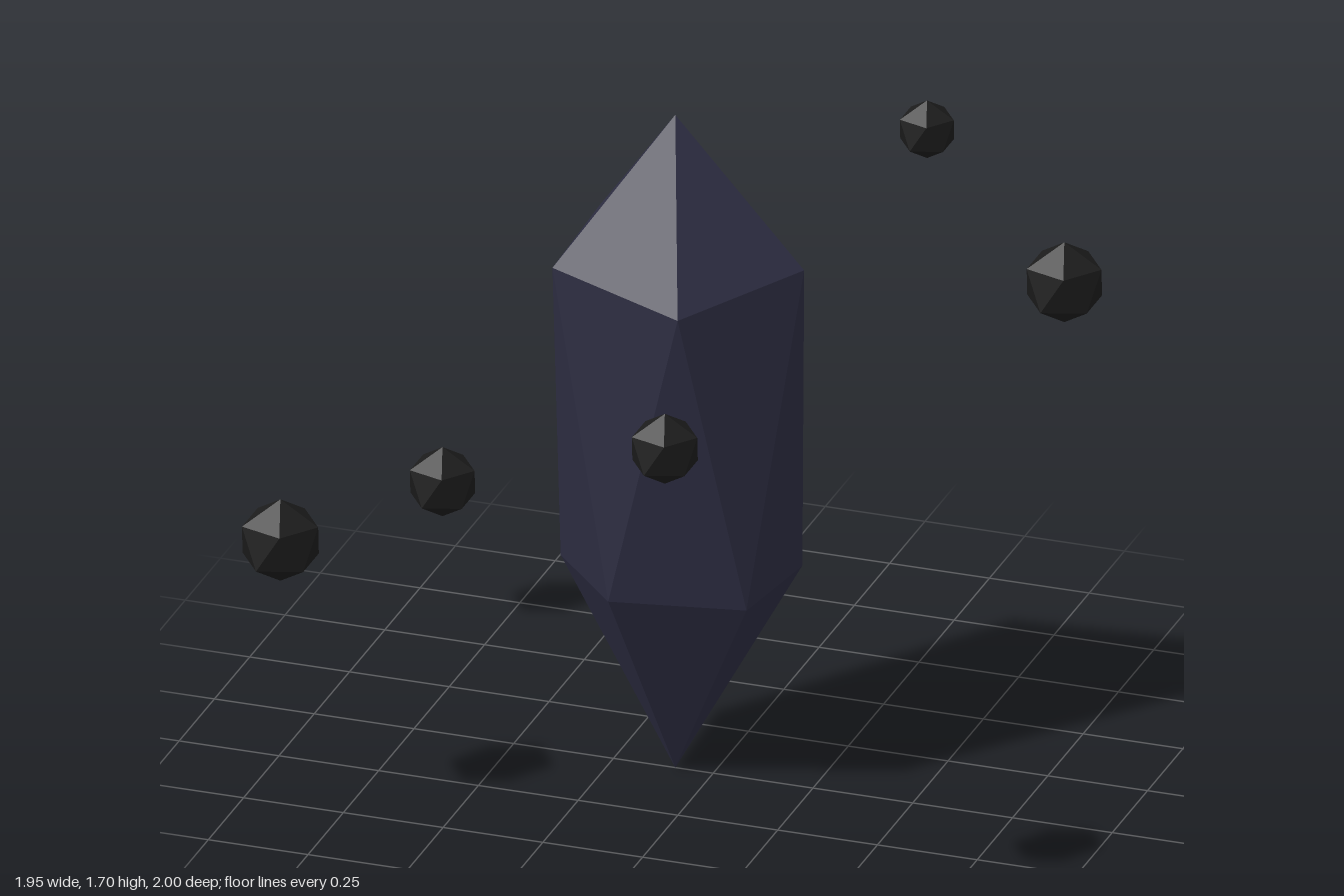
import * as THREE from 'three';

// Twenty-sided gem: top point, two offset rings of five, bottom point
function gemGeometry(top, upper, lower, bottom) {
  const pos = [];
  const tri = (...corners) => corners.forEach((c) => pos.push(...c));
  for (let i = 0; i < 5; i++) {
    const j = (i + 1) % 5;
    tri(top, upper[j], upper[i]);
    tri(upper[i], upper[j], lower[i]);
    tri(lower[i], upper[j], lower[j]);
    tri(bottom, lower[i], lower[j]);
  }
  const geometry = new THREE.BufferGeometry();
  geometry.setAttribute('position', new THREE.Float32BufferAttribute(pos, 3));
  geometry.computeVertexNormals();
  return geometry;
}

// Regular ring of five points, first one turned by the given angle from +x
function ring(y, radius, turn) {
  return Array.from({ length: 5 }, (_, i) => {
    const a = turn + (i * Math.PI * 2) / 5;
    return [Math.cos(a) * radius, y, Math.sin(a) * radius];
  });
}

export function createModel() {
  const model = new THREE.Group();
  model.name = 'floatingCrystal';

  const crystalMaterial = new THREE.MeshStandardMaterial({ color: 0x2d2d42 });
  crystalMaterial.name = 'dark indigo';
  const shardMaterial = new THREE.MeshStandardMaterial({ color: 0x1c1c1c });
  shardMaterial.name = 'near black';
  crystalMaterial.flatShading = shardMaterial.flatShading = true;

  // Tall, slightly irregular central crystal
  const crystal = new THREE.Mesh(
    gemGeometry(
      [-0.095, 1.7, 0],
      [[0.228, 1.345, 0], [0, 1.288, 0.252], [-0.341, 1.34, 0.175], [-0.352, 1.342, -0.19], [-0.01, 1.272, -0.257]],
      [[0.14, 0.515, 0.16], [-0.174, 0.53, 0.252], [-0.384, 0.507, -0.005], [-0.172, 0.557, -0.244], [0.157, 0.483, -0.188]],
      [-0.095, 0, 0]
    ),
    crystalMaterial
  );
  crystal.name = 'crystal';
  model.add(crystal);

  // Small stones orbiting the crystal: x, y, z, radius
  const stoneGeometry = gemGeometry(
    [0, 1, 0], ring(0.447, 0.894, 0), ring(-0.447, 0.894, Math.PI / 5), [0, -1, 0]
  );
  const stones = [
    [0.88, 1.415, 0, 0.104],
    [0.205, 1.28, 0.922, 0.091],
    [0.205, 1.3, -0.935, 0.075],
    [-0.883, 0.72, 0.57, 0.106],
    [-0.883, 0.37, -0.578, 0.09],
  ];
  stones.forEach(([x, y, z, radius], i) => {
    const stone = new THREE.Mesh(stoneGeometry, shardMaterial);
    stone.name = `orbitingStone${i + 1}`;
    stone.position.set(x, y, z);
    stone.scale.setScalar(radius);
    model.add(stone);
  });

  return model;
}
